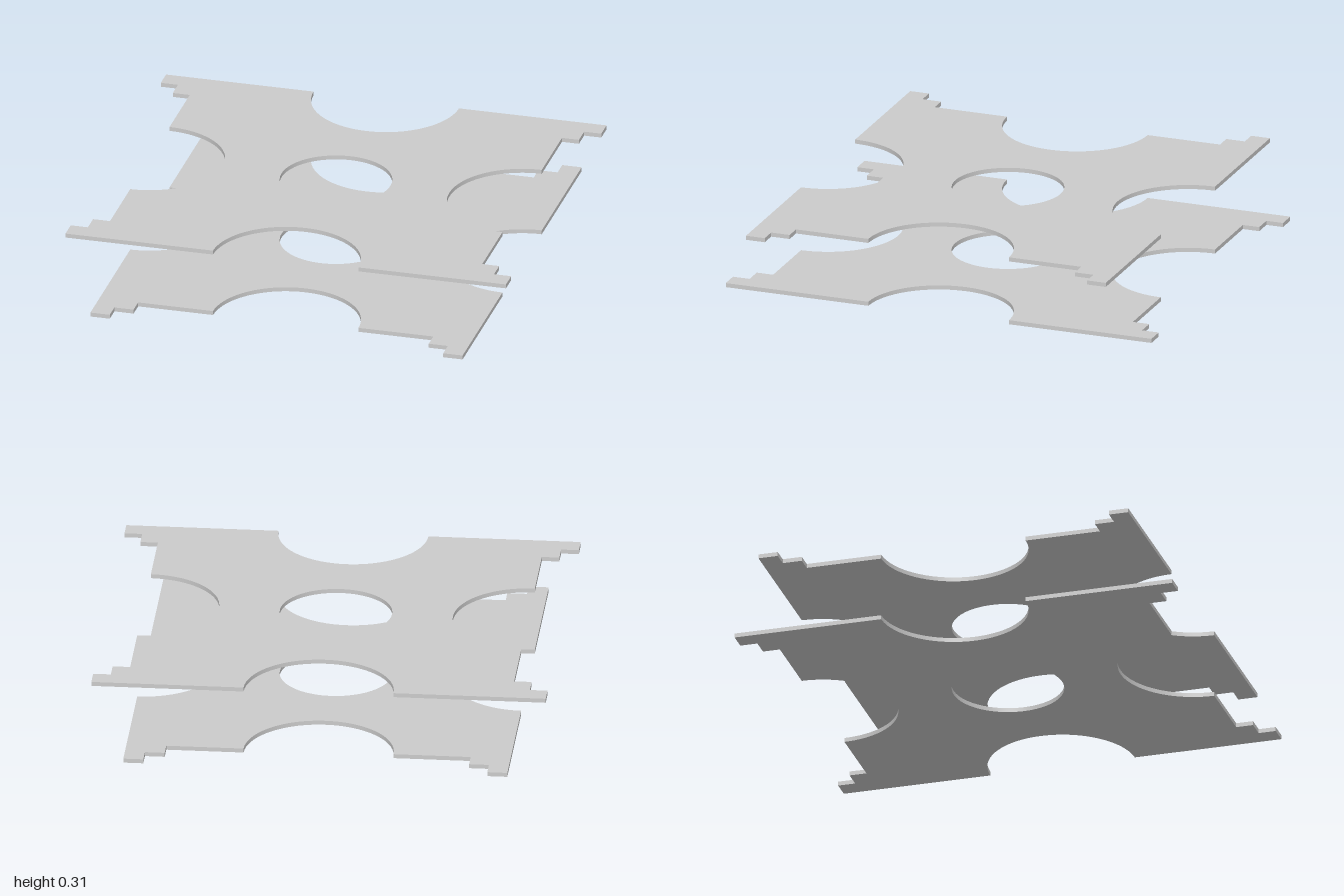
import * as THREE from 'three';
import { toCreasedNormals } from 'three/addons/utils/BufferGeometryUtils.js';

const HALF = 0.845;      // half width of the plate body
const NOTCH = 0.33;      // radius of the edge cut-outs
const HOLE = 0.247;      // radius of the central hole
const THICK = 0.019;
const UPPER_Y = 0.293;

// Stepped tab at one corner, from the side edge out to the tip
const TAB = [[HALF, 0.67], [0.922, 0.67], [0.922, 0.757], [1, 0.757], [1, HALF]];

function plateGeometry() {
  const shape = new THREE.Shape();
  const tab = (sx, sy, inward) => {
    const points = inward ? [...TAB].reverse() : TAB;
    points.forEach(([x, y]) => shape.lineTo(sx * x, sy * y));
  };
  const a = Math.PI / 2;

  // Outline, counter-clockwise: semicircular notch, then a corner tab, four times
  shape.moveTo(HALF, -NOTCH);
  shape.absarc(HALF, 0, NOTCH, -a, a, true);
  tab(1, 1, false);
  shape.absarc(0, HALF, NOTCH, 0, Math.PI, true);
  tab(-1, 1, true);
  shape.absarc(-HALF, 0, NOTCH, a, -a, true);
  tab(-1, -1, false);
  shape.absarc(0, -HALF, NOTCH, Math.PI, 0, true);
  tab(1, -1, true);
  shape.closePath();

  // Central round hole
  const hole = new THREE.Path();
  hole.absarc(0, 0, HOLE, 0, Math.PI * 2, true);
  shape.holes.push(hole);

  const geometry = new THREE.ExtrudeGeometry(shape, {
    depth: THICK, bevelEnabled: false, curveSegments: 40,
  });
  geometry.rotateX(-Math.PI / 2);
  return toCreasedNormals(geometry, 0.5);
}

export function createModel() {
  const group = new THREE.Group();
  group.name = 'platePair';
  const material = new THREE.MeshStandardMaterial({ color: 0xcccccc });
  const geometry = plateGeometry();

  // Two identical plates, the lower one turned a quarter turn
  const lower = new THREE.Mesh(geometry, material);
  lower.name = 'lowerPlate';
  lower.rotation.y = Math.PI / 2;

  const upper = new THREE.Mesh(geometry, material);
  upper.name = 'upperPlate';
  upper.position.y = UPPER_Y;

  group.add(lower, upper);
  return group;
}
